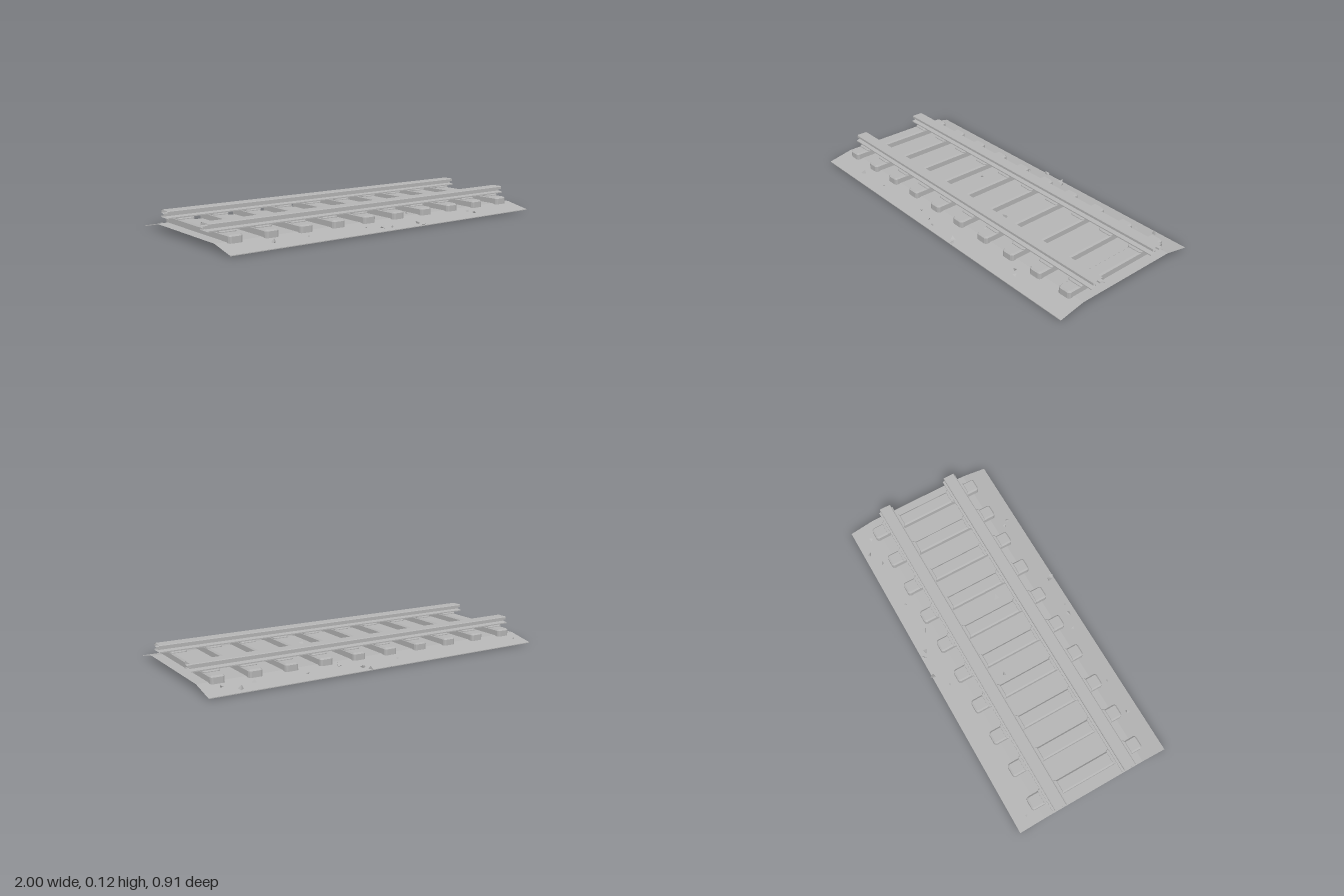
import * as THREE from 'three';

const stone = new THREE.MeshStandardMaterial({ color: 0xb4b4b4, side: THREE.DoubleSide, flatShading: true });
stone.name = 'grey';

// Outline of a rounded rectangle, counter-clockwise seen from above
function outline(w, d, r, inset) {
  const pts = [];
  const rr = Math.max(r - inset, 0.001);
  [[1, -1], [-1, -1], [-1, 1], [1, 1]].forEach(([sx, sz], q) => {
    for (let k = 0; k <= 2; k++) {
      const a = (q + k / 2) * Math.PI / 2;
      pts.push([sx * (w / 2 - r) + rr * Math.cos(a), sz * (d / 2 - r) - rr * Math.sin(a)]);
    }
  });
  return pts;
}

// Slab with rounded corners and a bevelled top edge
function slab(w, d, y0, y1, r, bevel) {
  const rings = [[y0, 0], [y1 - bevel, 0], [y1, bevel]].map(([y, inset]) =>
    outline(w, d, r, inset).map(([x, z]) => [x, y, z]));
  const pos = [];
  const n = rings[0].length;
  for (let i = 0; i < n; i++) {
    const j = (i + 1) % n;
    for (let k = 0; k < 2; k++) {
      const [a, b, c, e] = [rings[k][i], rings[k][j], rings[k + 1][j], rings[k + 1][i]];
      pos.push(...a, ...b, ...c, ...a, ...c, ...e);
    }
    pos.push(0, y1, 0, ...rings[2][i], ...rings[2][j]);
    pos.push(0, y0, 0, ...rings[0][j], ...rings[0][i]);
  }
  return finish(pos);
}

// Open strip: a (z, y) profile swept along x, without end caps
function sweep(profile, length) {
  const pos = [];
  const h = length / 2;
  for (let i = 0; i < profile.length - 1; i++) {
    const [z0, y0] = profile[i];
    const [z1, y1] = profile[i + 1];
    pos.push(-h, y0, z0, h, y0, z0, h, y1, z1, -h, y0, z0, h, y1, z1, -h, y1, z1);
  }
  return finish(pos);
}

function finish(pos) {
  const g = new THREE.BufferGeometry();
  g.setAttribute('position', new THREE.Float32BufferAttribute(pos, 3));
  g.computeVertexNormals();
  return g;
}

// Ballast bed height at a given distance from the centre line
const EDGE = 0.45, CREST = 0.305, TOP = 0.034, LIP = 0.004;
const bedHeight = (z) => Math.abs(z) < CREST ? TOP
  : TOP + (LIP - TOP) * (Math.abs(z) - CREST) / (EDGE - CREST);

export function createModel() {
  const model = new THREE.Group();
  model.name = 'railwayTrack';
  const add = (name, geometry, x = 0, y = 0, z = 0) => {
    const mesh = new THREE.Mesh(geometry, stone);
    mesh.name = name;
    mesh.position.set(x, y, z);
    model.add(mesh);
    return mesh;
  };

  // Ballast sheet with sloping shoulders
  add('ballastBed', sweep([
    [EDGE, 0], [EDGE, LIP], [CREST, TOP], [-CREST, TOP], [-EDGE, LIP], [-EDGE, 0],
  ], 2), 0, 0, -0.002);

  // Sleepers, each with two chair plates
  const sleeper = slab(0.076, 0.678, 0.03, 0.071, 0.014, 0.008);
  const plate = slab(0.09, 0.116, 0.07, 0.078, 0.014, 0.003);
  for (let i = 0; i < 10; i++) {
    const x = -0.9 + 0.2 * i;
    add('sleeper', sleeper, x, 0, -0.002);
    for (const side of [-1, 1]) add('chairPlate', plate, x, 0, side * 0.212 - 0.002);
  }

  // Rails: foot, web and head
  const half = [[0.043, 0.078], [0.043, 0.084], [0.014, 0.089], [0.014, 0.098],
    [0.034, 0.101], [0.034, 0.114], [0.03, 0.118]];
  const mirrored = half.map(([z, y]) => [-z, y]).reverse();
  const rail = sweep([...half, ...mirrored, half[0]], 2);
  for (const side of [-1, 1]) add(side > 0 ? 'frontRail' : 'backRail', rail, 0, 0, side * 0.212 - 0.002);

  // Loose stones: x, z, radius
  const stones = [
    [-0.94, -0.38, 0.01], [-0.11, -0.385, 0.01], [-0.02, -0.443, 0.02], [0.1, -0.44, 0.02],
    [0.13, -0.415, 0.018], [0.24, -0.36, 0.02], [0.435, -0.382, 0.011], [0.73, -0.377, 0.015],
    [0.82, -0.42, 0.02], [0.9, -0.37, 0.014], [-0.21, -0.1, 0.015], [0.21, 0.09, 0.023],
    [0.23, 0.247, 0.01], [-0.725, 0.382, 0.02], [-0.52, 0.38, 0.009], [-0.16, 0.377, 0.009],
    [-0.07, 0.402, 0.019], [-0.015, 0.415, 0.01], [0.165, 0.415, 0.018], [0.185, 0.437, 0.016],
    [0.59, 0.362, 0.014], [0.617, 0.39, 0.014],
  ];
  stones.forEach(([x, z, r], i) => {
    const mesh = add('looseStone', new THREE.TetrahedronGeometry(r, 0), x, bedHeight(z) + r * 0.15, z);
    mesh.rotation.set(0.6 + i * 0.13, i * 1.7, 0.5);
    mesh.scale.y = 0.8;
  });

  return model;
}
